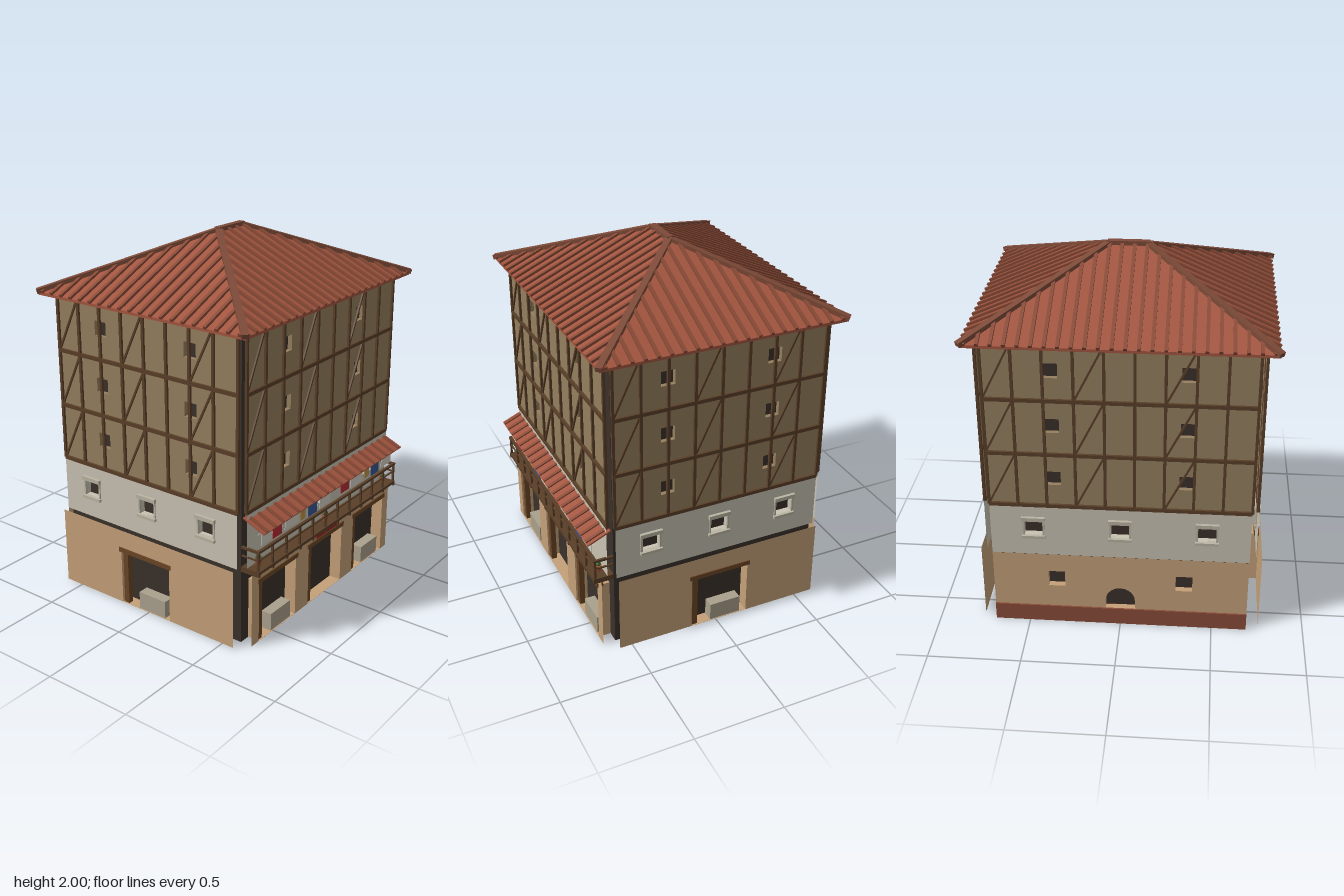
import * as THREE from 'three';
import { ConvexGeometry } from 'three/addons/geometries/ConvexGeometry.js';

const mat = (color, side = THREE.FrontSide) => new THREE.MeshStandardMaterial({ color, side });
const DS = THREE.DoubleSide;
const M = {
  tan: mat(0xc4a078, DS), plaster: mat(0xc8c2b2, DS), infill: mat(0x957f5f, DS),
  dark: mat(0x3a302a), timber: mat(0x5a3f28), stone: mat(0xbab4a2), crate: mat(0xaaa08c),
  lintel: mat(0x6a4526), tile: mat(0xa3553f), rib: mat(0x8a4a36), hip: mat(0x7d4a38),
  brick: mat(0x8a4b38), red: mat(0xb52c34, DS), blue: mat(0x35558f, DS), ochre: mat(0xb8924e, DS),
  linen: mat(0xd2cfc0, DS), sign: mat(0x8e2a22), pot: mat(0xa0502f), leaf: mat(0x3f6230),
};
const V = (x, y, z) => new THREE.Vector3(x, y, z);
const HX = 0.69, HZ = 0.59, CZ = -0.02; // half width, half depth, centre of the body
const BASE = 0.44, MID = 0.75, TOP = 1.68;

function add(parent, name, geo, material, x = 0, y = 0, z = 0) {
  const m = new THREE.Mesh(geo, material);
  m.name = name;
  m.position.set(x, y, z);
  parent.add(m);
  return m;
}
const box = (p, name, material, w, h, d, x, y, z) =>
  add(p, name, new THREE.BoxGeometry(w, h, d), material, x, y, z);

// straight member from a to b, w across and h thick
function beam(p, name, material, a, b, w, h) {
  const m = new THREE.Mesh(new THREE.BoxGeometry(w, h, a.distanceTo(b)), material);
  m.name = name;
  m.position.copy(a).lerp(b, 0.5);
  m.lookAt(b);
  p.add(m);
}

// outlines of openings, as points in the wall plane
const rect = (u, y0, w, h) =>
  [[-1, 0], [1, 0], [1, 1], [-1, 1]].map(([a, b]) => new THREE.Vector2(u + a * w / 2, y0 + b * h));
function arch(u, y0, w, h) {
  const pts = [new THREE.Vector2(u - w / 2, y0), new THREE.Vector2(u + w / 2, y0)];
  for (let i = 0; i <= 10; i++) {
    const a = Math.PI * i / 10;
    pts.push(new THREE.Vector2(u + Math.cos(a) * w / 2, y0 + h - w / 2 + Math.sin(a) * w / 2));
  }
  return pts;
}

// thin wall skin at distance d in front of the core, with reveals running back to it
function skin(p, name, material, w, y0, y1, d, holes) {
  const shape = new THREE.Shape(rect(0, y0, w, y1 - y0));
  holes.forEach(h => shape.holes.push(new THREE.Path(h)));
  add(p, name, new THREE.ShapeGeometry(shape), material, 0, 0, d);
  for (const h of holes) {
    const pos = [];
    h.forEach((a, i) => {
      const b = h[(i + 1) % h.length];
      pos.push(a.x, a.y, 0, b.x, b.y, d, a.x, a.y, d, a.x, a.y, 0, b.x, b.y, 0, b.x, b.y, d);
    });
    const g = new THREE.BufferGeometry();
    g.setAttribute('position', new THREE.Float32BufferAttribute(pos, 3));
    g.computeVertexNormals();
    add(p, name + 'Reveal', g, material);
  }
}

// timber-framed upper storeys
function timberStoreys(p, w, bays) {
  const d = 0.025, storey = (TOP - MID) / 3, bay = w / bays, holes = [];
  for (let f = 0; f < 3; f++)
    for (const s of [-1, 1]) holes.push(rect(s * w / 4, MID + f * storey + 0.125, 0.076, 0.08));
  skin(p, 'timberWall', M.infill, w, MID, TOP, d, holes);
  for (let i = 0; i <= bays; i++)
    box(p, 'post', M.timber, 0.015, TOP - MID, 0.014, -w / 2 + i * bay, (MID + TOP) / 2, d + 0.005);
  for (let f = 0; f <= 3; f++)
    box(p, 'floorBeam', M.timber, w, 0.02, 0.016, 0, MID + f * storey, d + 0.005);
  for (let f = 0; f < 3; f++)
    for (let i = 0; i < bays; i += 3) {
      const u = -w / 2 + i * bay, y = MID + f * storey;
      beam(p, 'brace', M.timber, V(u, y, d + 0.003), V(u + bay, y + storey, d + 0.003), 0.012, 0.01);
    }
}

// plastered middle storey with three windows
function plasterStorey(p, w) {
  const us = [-1, 0, 1].map(k => k * w / 3);
  skin(p, 'plasterWall', M.plaster, w, BASE, MID, 0.035, us.map(u => rect(u, 0.565, 0.098, 0.092)));
  for (const u of us) {
    box(p, 'windowLintel', M.stone, 0.124, 0.022, 0.03, u, 0.667, 0.037);
    box(p, 'windowSill', M.stone, 0.124, 0.016, 0.03, u, 0.557, 0.037);
    for (const s of [-1, 1]) box(p, 'windowJamb', M.stone, 0.01, 0.09, 0.012, u + s * 0.053, 0.611, 0.035);
  }
}

// ground storey with wide doorways; crates stand in some of them
function doorStorey(p, w, h, doors) {
  skin(p, 'groundWall', M.tan, w, 0, BASE, 0.068, doors.map(([u]) => rect(u, 0.001, 0.335, h)));
  for (const [u, crate] of doors) {
    box(p, 'doorLintel', M.lintel, 0.36, 0.026, 0.034, u, h + 0.01, 0.057);
    box(p, 'doorPost', M.lintel, 0.032, h, 0.03, u - 0.145, h / 2, 0.045);
    if (crate) box(p, 'crate', M.crate, 0.18, 0.1, 0.06, u + 0.04, 0.05, 0.032);
  }
}

function backGround(p, w) {
  const us = [-w / 4, w / 4];
  skin(p, 'backGroundWall', M.tan, w, 0, BASE, 0.036,
    [...us.map(u => rect(u, 0.235, 0.09, 0.095)), arch(0, 0.1, 0.16, 0.135)]);
  box(p, 'plinth', M.brick, w, 0.1, 0.045, 0, 0.05, 0.0225);
}

function plant(p, x, y, z) {
  const g = new THREE.Group();
  g.name = 'pottedPlant';
  add(g, 'pot', new THREE.CylinderGeometry(0.019, 0.014, 0.035, 8), M.pot, 0, 0.0175, 0);
  add(g, 'leaves', new THREE.IcosahedronGeometry(0.018, 0), M.leaf, 0, 0.046, 0);
  g.position.set(x, y, z);
  p.add(g);
}

// balcony, washing line and awning, in the local frame of the front wall
function balcony(p) {
  const w = 1.38, zf = 0.1;
  box(p, 'balconyDeck', M.timber, w, 0.016, 0.11, 0, 0.434, 0.055);
  for (let i = 0; i <= 11; i++) {
    const x = -0.683 + i * 1.366 / 11;
    box(p, 'railPost', M.timber, 0.011, 0.115, 0.011, x, 0.497, zf);
    box(p, 'deckJoist', M.timber, 0.014, 0.014, 0.11, x, 0.42, 0.055);
  }
  box(p, 'handrail', M.timber, w, 0.013, 0.016, 0, 0.55, zf);
  box(p, 'midRail', M.timber, w, 0.007, 0.009, 0, 0.503, zf);
  for (const s of [-1, 1]) {
    box(p, 'sideHandrail', M.timber, 0.013, 0.013, 0.1, s * 0.683, 0.55, 0.05);
    box(p, 'sideMidRail', M.timber, 0.009, 0.007, 0.1, s * 0.683, 0.503, 0.05);
  }
  for (const k of [-1, 0, 1]) {
    plant(p, k * 0.625, 0.442, 0.06);
    plant(p, k * 0.46, 0.565, 0.042);
  }
  box(p, 'signBoard', M.sign, 0.225, 0.034, 0.012, 0, 0.398, 0.077);

  // washing: left edge, right edge, material
  box(p, 'washingLine', M.linen, w, 0.003, 0.003, 0, 0.65, zf);
  const cloths = [[-0.66, -0.57, 'linen'], [-0.56, -0.48, 'red'], [-0.45, -0.33, 'linen'],
    [-0.31, -0.262, 'ochre'], [-0.235, -0.15, 'blue'], [-0.125, -0.015, 'linen'], [0.09, 0.175, 'red'],
    [0.195, 0.32, 'linen'], [0.34, 0.39, 'ochre'], [0.415, 0.5, 'blue'], [0.53, 0.64, 'linen']];
  cloths.forEach(([a, b, c], i) => {
    const h = c === 'blue' ? 0.082 : 0.07 + (i % 2) * 0.005;
    box(p, 'cloth', M[c], b - a, h, 0.003, (a + b) / 2, 0.65 - h / 2, zf);
  });

  // tiled awning
  beam(p, 'awning', M.tile, V(0, 0.718, 0.01), V(0, 0.662, 0.138), w, 0.008);
  for (let i = 0; i < 20; i++) {
    const x = -0.66 + i * 1.32 / 19;
    beam(p, 'awningRib', M.rib, V(x, 0.724, 0.01), V(x, 0.668, 0.138), 0.02, 0.012);
  }
}

// hipped roof with tile ribs
function roof(p) {
  const ex = 0.775, ez = 0.672, ey = 1.685, ry = 1.985, rx = 0.1;
  const pts = [V(-rx, ry, 0), V(rx, ry, 0)];
  for (const x of [-ex, ex]) for (const z of [-ez, ez]) pts.push(V(x, ey, z), V(x, ey - 0.015, z));
  add(p, 'roofBody', new ConvexGeometry(pts), M.tile);
  const lift = 0.004;
  for (const s of [-1, 1]) {
    for (let k = -11.5; k <= 11.5; k++) {
      const x = k * 0.0655, t = Math.min(1, (ex - Math.abs(x)) / (ex - rx));
      beam(p, 'roofRib', M.rib, V(x, ey + lift, s * (ez + 0.004)),
        V(x, ey + lift + t * (ry - ey), s * ez * (1 - t)), 0.018, 0.016);
    }
    for (let k = -9.5; k <= 9.5; k++) {
      const z = k * 0.0675, t = 1 - Math.abs(z) / ez;
      beam(p, 'roofRib', M.rib, V(s * (ex + 0.004), ey + lift, z),
        V(s * (ex - t * (ex - rx)), ey + lift + t * (ry - ey), z), 0.018, 0.016);
    }
    for (const q of [-1, 1])
      beam(p, 'hipBeam', M.hip, V(s * (ex + 0.005), ey + lift, q * (ez + 0.005)),
        V(s * rx, ry, 0), 0.036, 0.026);
  }
  box(p, 'ridgeBeam', M.hip, 2 * rx + 0.02, 0.026, 0.036, 0, ry + 0.002, 0);
}

export function createModel() {
  const model = new THREE.Group();
  model.name = 'house';
  const body = new THREE.Group();
  body.name = 'body';
  body.position.z = CZ;
  model.add(body);
  // dark core seen through doors and windows
  box(body, 'core', M.dark, 2 * HX, TOP, 2 * HZ, 0, TOP / 2, 0);

  const sides = [['front', 0], ['leftSide', 1], ['back', 2], ['rightSide', 3]];
  for (const [name, q] of sides) {
    const flank = q % 2 === 1, w = 2 * (flank ? HZ : HX), dist = flank ? HX : HZ;
    const wall = new THREE.Group();
    wall.name = name;
    wall.rotation.y = q * Math.PI / 2;
    wall.position.set(Math.sin(wall.rotation.y) * dist, 0, Math.cos(wall.rotation.y) * dist);
    timberStoreys(wall, w, flank ? 8 : 9);
    plasterStorey(wall, w);
    if (q === 2) backGround(wall, w);
    else if (flank) doorStorey(wall, w, 0.315, [[0, true]]);
    else doorStorey(wall, w, 0.345, [[-0.46, true], [0, false], [0.46, true]]);
    if (q === 0) balcony(wall);
    body.add(wall);
  }
  roof(body);
  return model;
}
